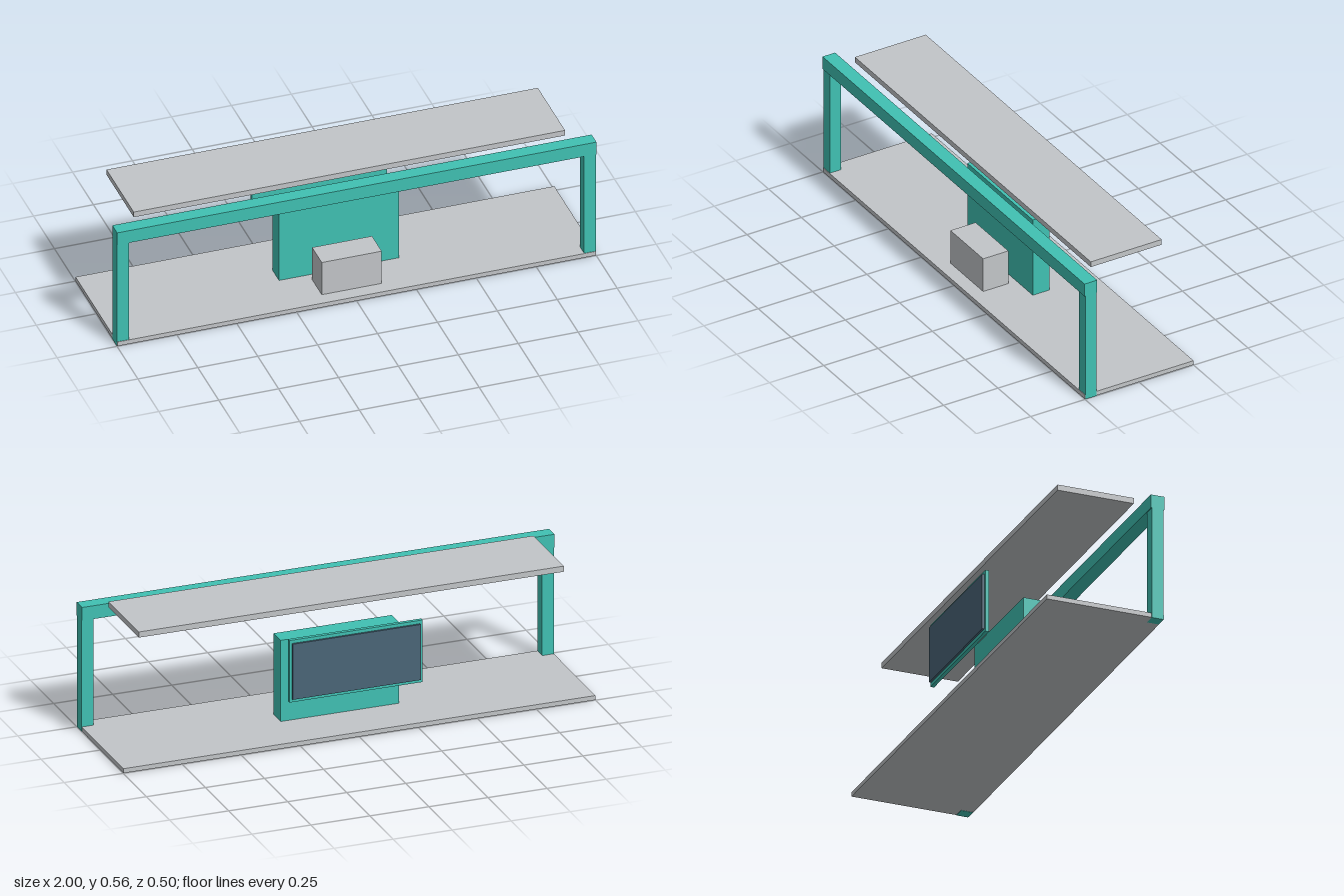
import * as THREE from 'three';

export function createModel() {
  const group = new THREE.Group();
  const material = (name, color) => {
    const m = new THREE.MeshStandardMaterial({ color });
    m.name = name;
    return m;
  };
  const grey = material('light grey', 0xc2c5c8);
  const teal = material('teal', 0x40c1b3);
  const slate = material('slate', 0x4a6678);

  // Box given by its extents on each axis
  const box = (name, mat, [x0, x1], [y0, y1], [z0, z1]) => {
    const mesh = new THREE.Mesh(new THREE.BoxGeometry(x1 - x0, y1 - y0, z1 - z0), mat);
    mesh.position.set((x0 + x1) / 2, (y0 + y1) / 2, (z0 + z1) / 2);
    mesh.name = name;
    group.add(mesh);
  };

  // Platform and floating roof slab
  box('platform', grey, [-0.999, 0.999], [0.001, 0.02], [-0.25, 0.25]);
  box('roofSlab', grey, [-0.9, 0.9], [0.532, 0.556], [-0.163, 0.163]);

  // Front portal frame
  box('rightPost', teal, [-1, -0.95], [0, 0.48], [0.198, 0.248]);
  box('leftPost', teal, [0.95, 1], [0, 0.48], [0.198, 0.248]);
  box('frontBeam', teal, [-1, 1], [0.477, 0.534], [0.194, 0.252]);

  // Centre wall with a counter before it
  box('centreWall', teal, [-0.25, 0.25], [0.02, 0.368], [-0.038, 0.038]);
  box('counter', grey, [-0.125, 0.125], [0.02, 0.171], [0.075, 0.191]);

  // Screen facing the back
  box('screenFrame', teal, [-0.282, 0.282], [0.176, 0.442], [-0.213, -0.197]);
  box('screenPanel', slate, [-0.271, 0.271], [0.19, 0.428], [-0.222, -0.213]);

  return group;
}
